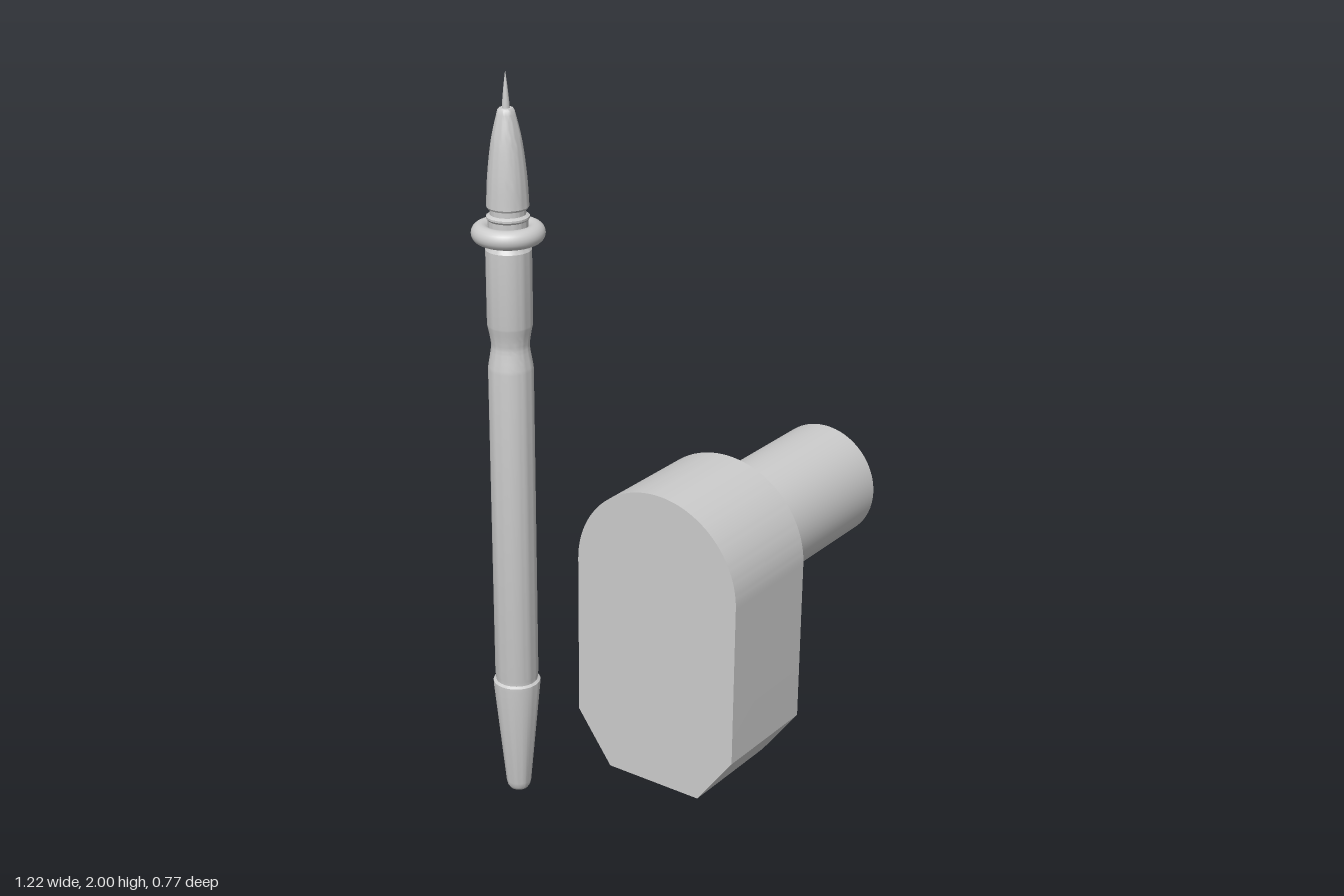
import * as THREE from 'three';
import { toCreasedNormals } from 'three/addons/utils/BufferGeometryUtils.js';

const material = new THREE.MeshStandardMaterial({ color: 0xcccccc });

function addMesh(parent, name, geometry) {
  const mesh = new THREE.Mesh(geometry, material);
  mesh.name = name;
  parent.add(mesh);
  return mesh;
}

// Turned part from [radius, height] pairs, listed bottom to top
function turned(parent, name, profile) {
  const points = profile.map(([r, y]) => new THREE.Vector2(r, y));
  return addMesh(parent, name, toCreasedNormals(new THREE.LatheGeometry(points, 48), 0.5));
}

// Smooth run of profile pairs through a few control pairs
function smooth(pairs, divisions = 14) {
  const curve = new THREE.SplineCurve(pairs.map(([r, y]) => new THREE.Vector2(r, y)));
  return curve.getPoints(divisions).map((p) => [p.x, p.y]);
}

function createStylus() {
  const stylus = new THREE.Group();
  stylus.name = 'stylus';

  // Tapered end with a rounded foot
  turned(stylus, 'endCap', [
    [0, 0], [0.016, 0.003], [0.025, 0.009], [0.031, 0.018], [0.034, 0.032],
    [0.063, 0.335], [0.063, 0.345], [0.056, 0.35], [0, 0.35],
  ]);

  // Long barrel with a waisted grip
  turned(stylus, 'barrel', [
    [0, 0.345], [0.056, 0.345], [0.056, 0.36], [0.058, 0.37], [0.058, 1.24],
    ...smooth([[0.057, 1.25], [0.051, 1.285], [0.049, 1.305], [0.052, 1.33], [0.057, 1.355]]),
    [0.058, 1.36], [0.058, 1.555], [0.052, 1.565], [0, 1.565],
  ]);

  // Narrow neck passing through the ring
  turned(stylus, 'neck', [
    [0, 1.56], [0.05, 1.56], [0.05, 1.63], [0.054, 1.635], [0.054, 1.64],
    [0.045, 1.645], [0.045, 1.665], [0, 1.665],
  ]);

  const ring = addMesh(stylus, 'ring', new THREE.TorusGeometry(0.068, 0.0245, 20, 48));
  ring.rotation.x = Math.PI / 2;
  ring.position.y = 1.597;

  // Bullet-shaped nose and needle point
  turned(stylus, 'nose', [
    [0, 1.66], [0.05, 1.66],
    ...smooth([[0.053, 1.665], [0.049, 1.74], [0.038, 1.83], [0.021, 1.903]]),
    [0.017, 1.908], [0, 1.908],
  ]);
  turned(stylus, 'needle', [[0.01, 1.9], [0.009, 1.92], [0.005, 1.96], [0, 2]]);

  stylus.position.set(-0.52, 0, -0.29);
  return stylus;
}

function createHolder() {
  const holder = new THREE.Group();
  holder.name = 'holder';
  const radius = 0.203;

  // Block with a round top and chamfered lower corners
  const outline = new THREE.Shape();
  outline.moveTo(-0.117, 0.69);
  outline.lineTo(0.117, 0.69);
  outline.lineTo(radius, 0.807);
  outline.lineTo(radius, 1.177);
  outline.absarc(0, 1.177, radius, 0, Math.PI, false);
  outline.lineTo(-radius, 0.807);
  outline.closePath();
  const block = new THREE.ExtrudeGeometry(outline, { depth: 0.262, bevelEnabled: false, curveSegments: 40 });
  addMesh(holder, 'block', toCreasedNormals(block, 0.4)).position.z = 0.123;

  // Round peg at the back
  const peg = addMesh(holder, 'peg', new THREE.CylinderGeometry(0.134, 0.134, 0.415, 64));
  peg.rotation.x = Math.PI / 2;
  peg.position.set(0, 1.177, -0.0825);

  holder.position.x = 0.405;
  return holder;
}

export function createModel() {
  const model = new THREE.Group();
  model.name = 'stylusAndHolder';
  model.add(createStylus(), createHolder());
  return model;
}
